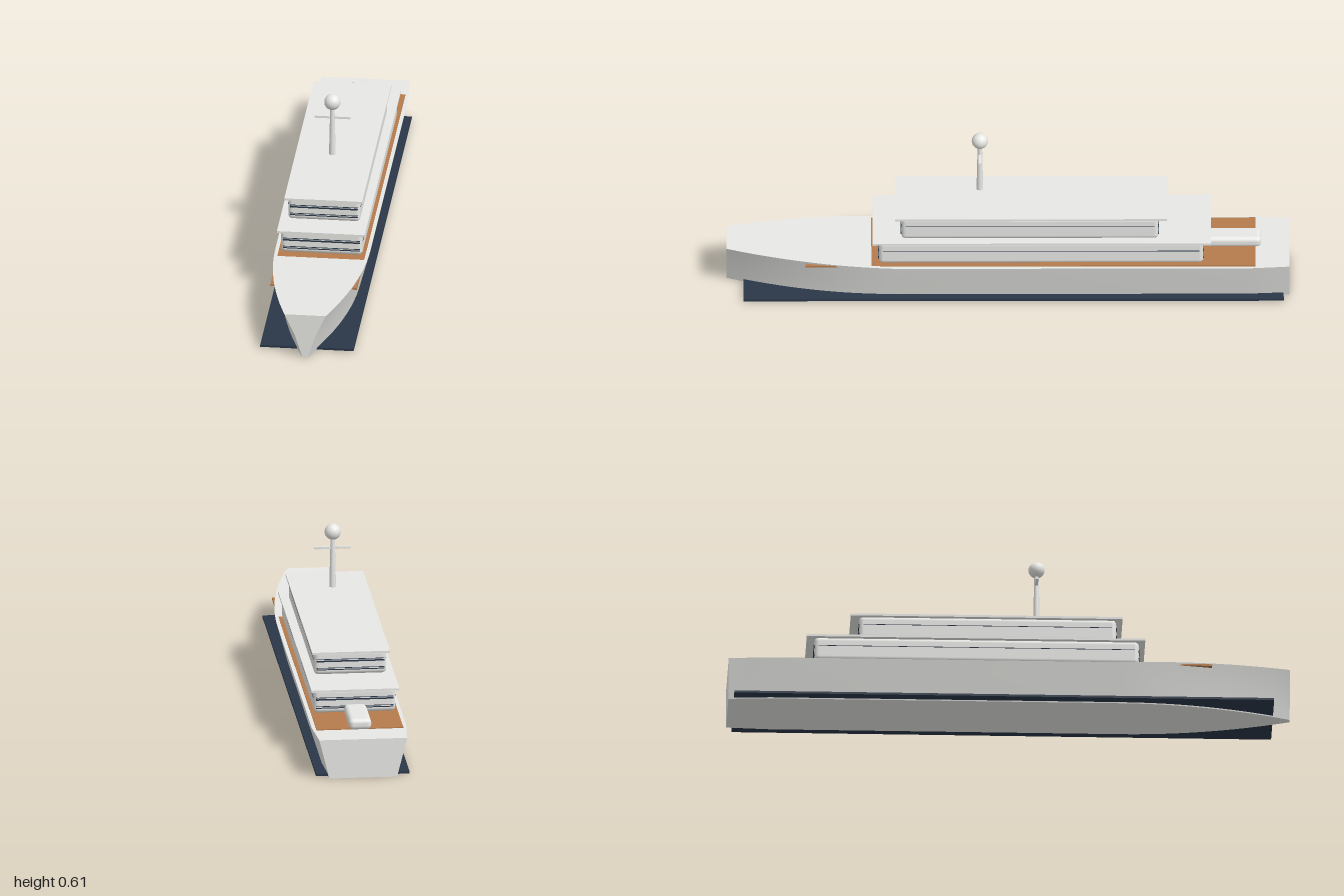
import * as THREE from 'three';
import { toCreasedNormals } from 'three/addons/utils/BufferGeometryUtils.js';
import { RoundedBoxGeometry } from 'three/addons/geometries/RoundedBoxGeometry.js';

const material = (name, color) => {
  const m = new THREE.MeshStandardMaterial({ color });
  m.name = name;
  return m;
};

// Cross-section ring at z, counter-clockwise seen from the bow
function hullSection(z) {
  const t = Math.max(0, (z - 0.4) / 0.6);
  const stern = 1 - 0.07 * Math.max(0, (-0.85 - z) / 0.15);
  const top = (0.169 - 0.095 * t * t) * stern;
  const bottom = (0.13 - 0.12 * t * t) * stern;
  const mid = (top + bottom) / 2 - 0.006 * t;
  const y = 0.143 + 0.023 * t;
  return [[-bottom, 0, z], [bottom, 0, z], [mid, y / 2, z], [top, y, z], [-top, y, z], [-mid, y / 2, z]];
}

function hullGeometry() {
  const stations = [-1, -0.925, -0.85, 0.4];
  for (let i = 1; i <= 12; i++) stations.push(0.4 + 0.05 * i);
  const rings = stations.map(hullSection);
  const pos = [];
  const quad = (a, b, c, d) => pos.push(...a, ...b, ...c, ...a, ...c, ...d);
  for (let i = 0; i < rings.length - 1; i++) {
    const p = rings[i], q = rings[i + 1];
    for (let k = 0; k < 6; k++) {
      const n = (k + 1) % 6;
      quad(p[k], p[n], q[n], q[k]);
    }
  }
  // Bow face and transom
  const f = rings[rings.length - 1], s = rings[0];
  quad(f[0], f[1], f[2], f[5]);
  quad(f[5], f[2], f[3], f[4]);
  quad(s[5], s[2], s[1], s[0]);
  quad(s[4], s[3], s[2], s[5]);
  const g = new THREE.BufferGeometry();
  g.setAttribute('position', new THREE.Float32BufferAttribute(pos, 3));
  g.computeVertexNormals();
  return toCreasedNormals(g, 0.5);
}

export function createModel() {
  const ship = new THREE.Group();
  ship.name = 'ship';
  const white = material('white paint', 0xededea);
  const navy = material('navy paint', 0x2a3647);
  const wood = material('deck wood', 0xb57b4c);

  const add = (name, geometry, mat, x = 0, y = 0, z = 0) => {
    const mesh = new THREE.Mesh(geometry, mat);
    mesh.name = name;
    mesh.position.set(x, y, z);
    ship.add(mesh);
    return mesh;
  };
  // Box given by half width and its y and z ranges
  const slab = (name, mat, hw, y0, y1, z0, z1, radius = 0) => {
    const size = [2 * hw, y1 - y0, z1 - z0];
    const g = radius ? new RoundedBoxGeometry(...size, 4, radius) : new THREE.BoxGeometry(...size);
    return add(name, g, mat, 0, (y0 + y1) / 2, (z0 + z1) / 2);
  };

  // Hull, waterline band and wooden deck
  add('hull', hullGeometry(), white);
  slab('waterlineBand', navy, 0.167, 0.004, 0.012, -0.98, 0.94);
  slab('woodenDeck', wood, 0.155, 0.14, 0.1463, -0.88, 0.72);

  // Two deckhouses, each with an overhanging roof and thin window strips
  const houses = [
    { name: 'lower', hw: 0.146, y0: 0.148, y1: 0.238, z0: -0.695, z1: 0.46, roof: [0.157, 0.234, 0.242, -0.722, 0.482] },
    { name: 'upper', hw: 0.129, y0: 0.241, y1: 0.33, z0: -0.535, z1: 0.38, roof: [0.139, 0.326, 0.334, -0.565, 0.402] },
  ];
  for (const h of houses) {
    slab(h.name + 'House', white, h.hw, h.y0, h.y1, h.z0, h.z1, 0.016);
    slab(h.name + 'Roof', white, ...h.roof);
    for (const [dy, height] of [[0.058, 0.002], [0.051, 0.005], [0.026, 0.002], [0.02, 0.003]]) {
      const y = h.y0 + dy;
      for (const z of [h.z0, h.z1]) {
        add(h.name + 'EndWindows', new THREE.BoxGeometry(2 * h.hw - 0.016, height, 0.004), navy, 0, y, z);
      }
    }
    for (const side of [-1, 1]) {
      add(h.name + 'SideWindows', new THREE.BoxGeometry(0.002, 0.002, h.z1 - h.z0 - 0.03), navy,
        side * h.hw, h.y0 + 0.055, (h.z0 + h.z1) / 2);
    }
  }

  // Rounded locker on the aft deck
  slab('aftLocker', white, 0.04, 0.145, 0.185, -0.9, -0.7, 0.016);

  // Mast with crossbar and radar dome
  add('mast', new THREE.CylinderGeometry(0.008, 0.012, 0.18, 16), white, 0, 0.463, 0.1);
  add('crossbar', new THREE.BoxGeometry(0.128, 0.008, 0.01), white, 0, 0.518, 0.1);
  add('radarDome', new THREE.SphereGeometry(0.029, 24, 16), white, 0, 0.577, 0.1);
  return ship;
}
